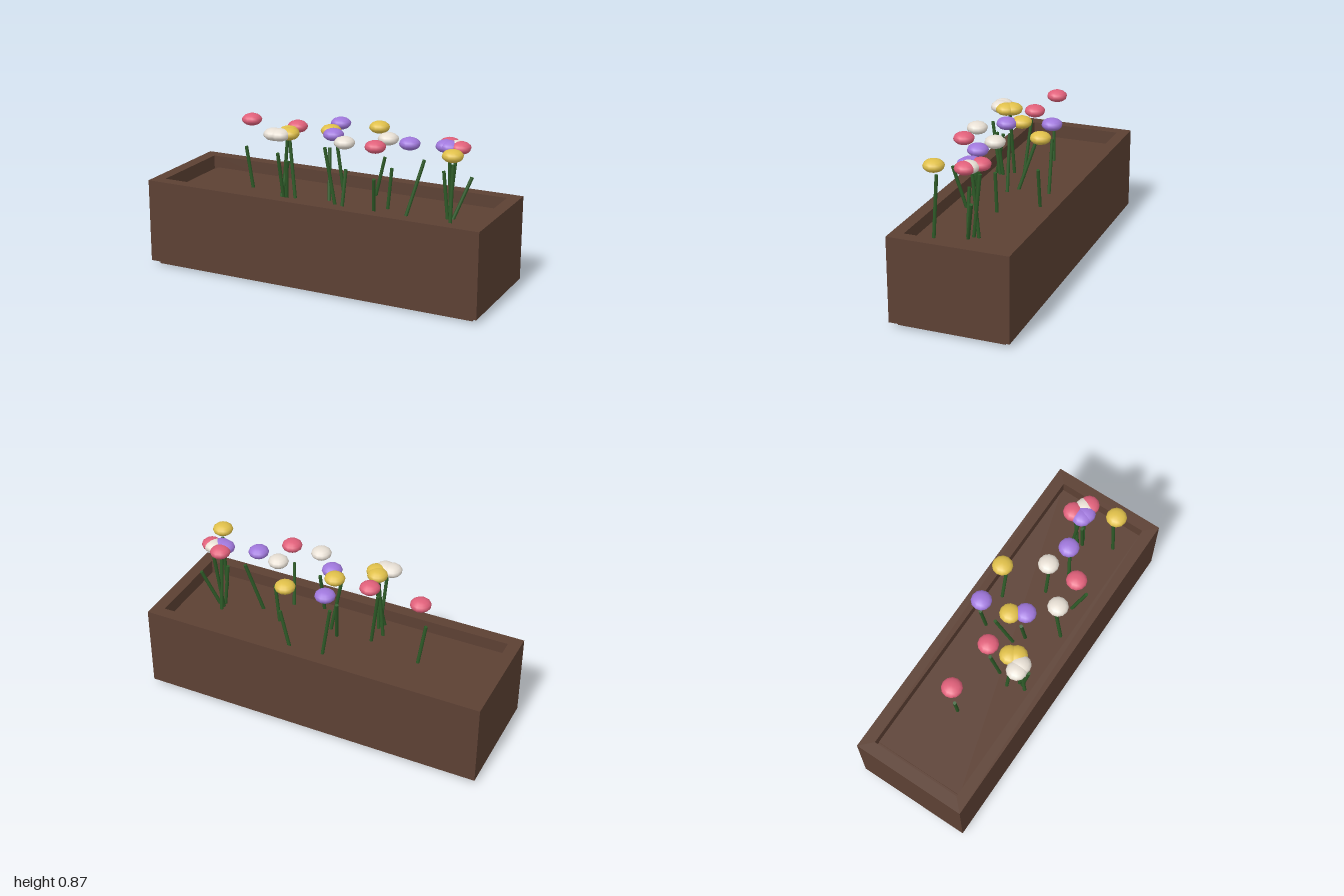
import * as THREE from 'three';

const mat = (name, color) => {
  const m = new THREE.MeshStandardMaterial({ color });
  m.name = name;
  return m;
};

export function createModel() {
  const group = new THREE.Group();
  const wood = mat('brown', 0x5c4033);
  const green = mat('stem green', 0x2d5a27);
  const petals = {
    red: mat('rose red', 0xe0607a),
    yellow: mat('yellow', 0xe0c04a),
    purple: mat('purple', 0xa078dc),
    white: mat('off white', 0xe8e0d5),
  };
  const add = (name, geometry, material) => {
    const mesh = new THREE.Mesh(geometry, material);
    mesh.name = name;
    group.add(mesh);
    return mesh;
  };
  const box = (name, w, h, d, y) => add(name, new THREE.BoxGeometry(w, h, d), wood).position.set(0, y, 0);

  // Planter walls: a rectangular frame
  const rect = (p, x, z) => p.moveTo(-x, -z).lineTo(x, -z).lineTo(x, z).lineTo(-x, z).closePath();
  const frame = rect(new THREE.Shape(), 1, 0.336);
  frame.holes.push(rect(new THREE.Path(), 0.93, 0.267));
  const walls = new THREE.ExtrudeGeometry(frame, { depth: 0.482, bevelEnabled: false });
  walls.rotateX(-Math.PI / 2).translate(0, 0.025, 0);
  add('planterWalls', walls, wood);

  // Foot, floor and soil
  box('foot', 1.93, 0.025, 0.602, 0.0125);
  box('floor', 1.86, 0.4, 0.534, 0.226);
  box('soil', 1.81, 0.01, 0.534, 0.431);

  // Stems: [x, z at rim height, tip x, tip y, tip z]
  const stems = [
    [-0.527, -0.01, -0.55, 0.68, 0],
    [-0.217, 0.05, -0.254, 0.767, 0.028],
    [-0.238, 0.131, -0.206, 0.8, 0.14],
    [-0.2, 0.21, -0.21, 0.745, 0.247],
    [-0.19, 0.187, -0.175, 0.695, 0.207],
    [-0.205, 0.21, -0.185, 0.685, 0.173],
    [-0.025, -0.168, -0.06, 0.74, -0.168],
    [-0.025, -0.01, -0.055, 0.715, -0.074],
    [0.03, 0.06, -0.015, 0.757, 0.067],
    [0.163, 0.205, 0.168, 0.685, 0.175],
    [0.195, -0.19, 0.23, 0.665, -0.194],
    [0.345, 0.198, 0.365, 0.675, 0.244],
    [0.345, 0, 0.36, 0.67, 0],
    [0.495, 0.053, 0.555, 0.745, 0.012],
    [0.775, 0.168, 0.775, 0.785, 0.15],
    [0.75, -0.015, 0.805, 0.665, -0.053],
    [0.69, 0.015, 0.67, 0.7, 0.016],
    [0.69, -0.037, 0.69, 0.8, -0.009],
    [0.695, -0.025, 0.71, 0.795, -0.062],
  ];
  const up = new THREE.Vector3(0, 1, 0);
  for (const [x, z, tx, ty, tz] of stems) {
    const tip = new THREE.Vector3(tx, ty, tz);
    const root = new THREE.Vector3(x, 0.507, z);
    // Carry the stem down into the soil
    root.addScaledVector(root.clone().sub(tip), 0.08 / (ty - 0.507));
    const dir = tip.clone().sub(root);
    const stem = add('stem', new THREE.CylinderGeometry(0.01, 0.01, dir.length(), 8), green);
    stem.position.copy(root).add(tip).multiplyScalar(0.5);
    stem.quaternion.setFromUnitVectors(up, dir.normalize());
  }

  // Flower heads: flattened balls, [x, z] by colour
  const flowers = {
    red: [[-0.525, -0.027], [-0.22, -0.005], [0.345, 0.184], [0.675, -0.05], [0.755, 0]],
    yellow: [[0.195, -0.194], [-0.012, -0.007], [0.777, 0.163], [-0.207, 0.124], [-0.187, 0.157]],
    purple: [[-0.035, -0.175], [0.037, 0.062], [0.483, 0.045], [0.675, 0.003], [0.7, 0.01]],
    white: [[0.34, 0.007], [0.163, 0.184], [-0.258, 0.201], [-0.22, 0.201], [0.735, -0.01]],
  };
  const head = new THREE.SphereGeometry(0.058, 12, 8).scale(1, 0.6, 1);
  for (const [colour, spots] of Object.entries(flowers)) {
    for (const [x, z] of spots) add(colour + 'Flower', head, petals[colour]).position.set(x, 0.836, z);
  }
  return group;
}
